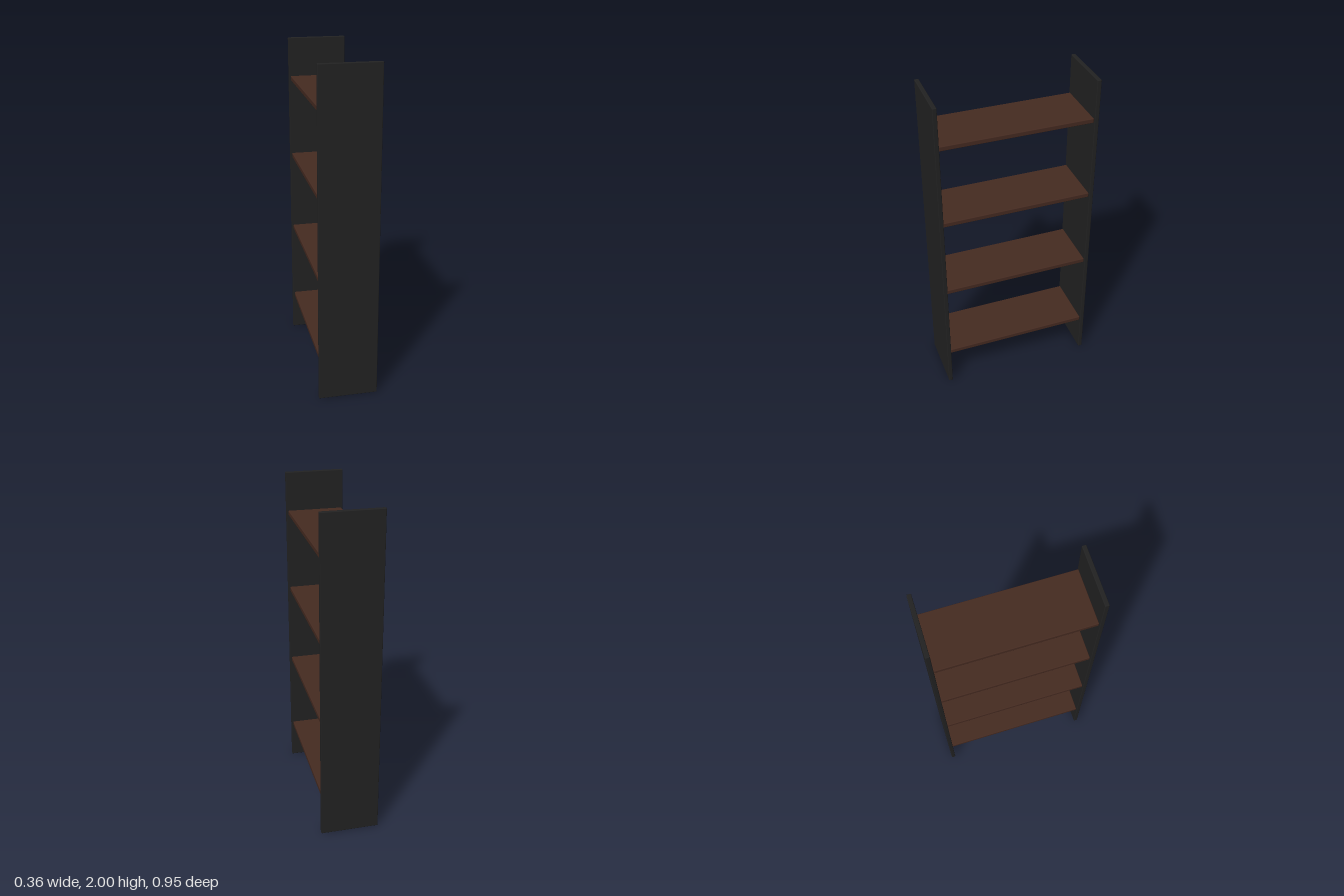
import * as THREE from 'three';
import { RoundedBoxGeometry } from 'three/addons/geometries/RoundedBoxGeometry.js';

export function createModel() {
  const model = new THREE.Group();
  model.name = 'shelfUnit';

  const blackPanel = new THREE.MeshStandardMaterial({ color: 0x222222 });
  blackPanel.name = 'black panel';
  const darkWood = new THREE.MeshStandardMaterial({ color: 0x462b21 });
  darkWood.name = 'dark wood';

  // A board with finely eased edges
  function addBoard(name, size, y, z, material) {
    const mesh = new THREE.Mesh(new RoundedBoxGeometry(...size, 2, 0.004), material);
    mesh.name = name;
    mesh.position.set(0, y, z);
    model.add(mesh);
  }

  // Upright end panels
  const panelThickness = 0.025;
  const panelZ = 0.461;
  addBoard('frontPanel', [0.356, 2, panelThickness], 1, panelZ, blackPanel);
  addBoard('backPanel', [0.356, 2, panelThickness], 1, -panelZ, blackPanel);

  // Four evenly spaced shelves spanning between the panels
  const shelfLength = 2 * panelZ - panelThickness;
  for (let i = 0; i < 4; i++) {
    addBoard(`shelf${i + 1}`, [0.334, 0.028, shelfLength], 0.25 + i * 0.5, 0, darkWood);
  }

  return model;
}
